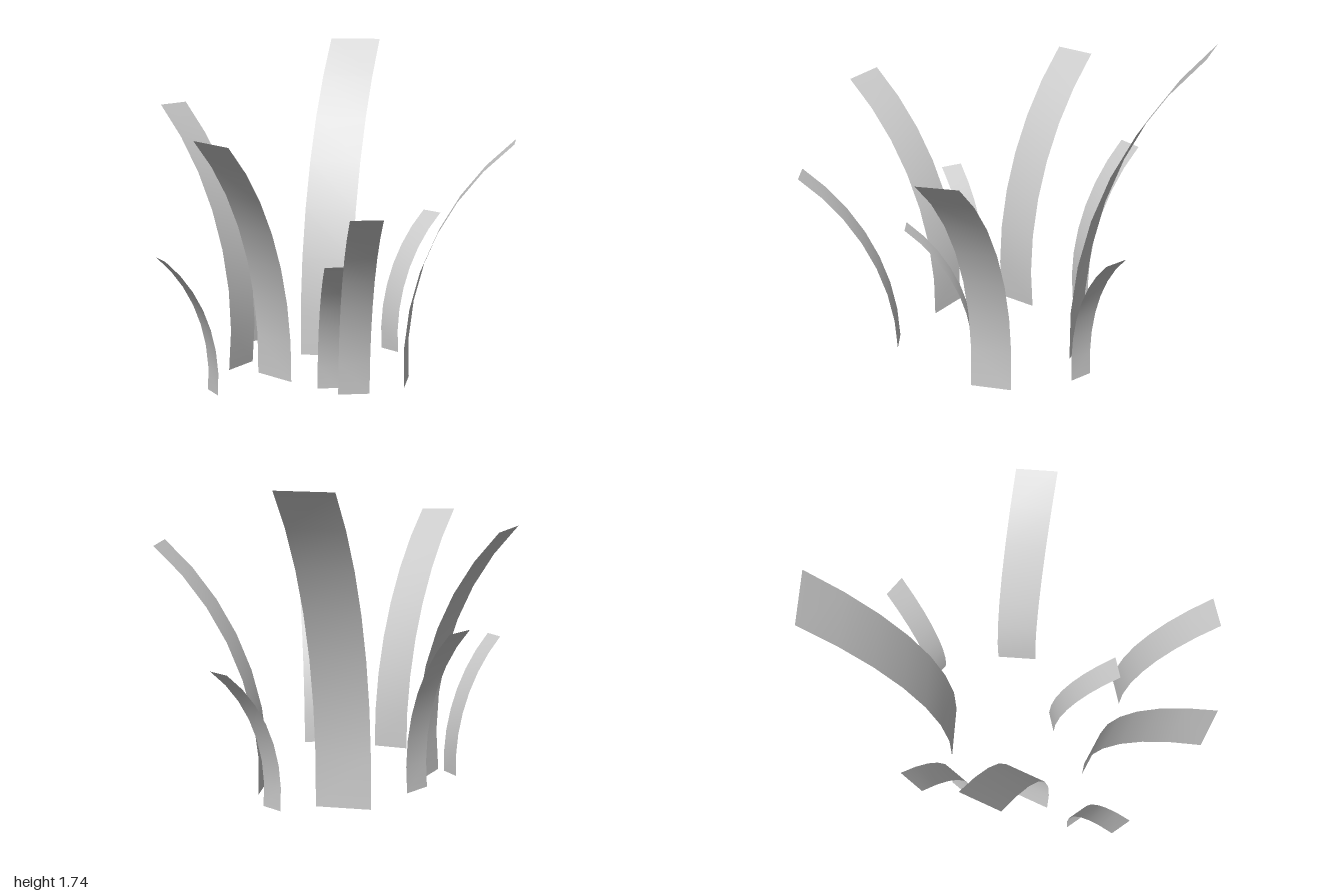
import * as THREE from 'three';

const SEGMENTS = 7;

// Each blade: middle of its foot, middle of its tip, half-width vector, half the bend in degrees
const BLADES = {
  tallBackLeftBlade: [[0.145, 0.05, -0.4], [0.52, 1.745, -0.93], [0.12, 0, 0.07], 24],
  smallBackBlade: [[-0.205, 0.14, -0.512], [-0.295, 1.01, -0.79], [0.065, 0, -0.028], 26],
  wideBackRightBlade: [[-0.4, 0.09, -0.2], [-0.645, 1.44, -0.57], [0.085, 0, -0.068], 26],
  smallLeftBlade: [[0.495, 0.068, -0.33], [0.777, 0.813, -0.415], [0.026, -0.002, 0.055], 28],
  smallRightBlade: [[-0.605, 0.012, -0.018], [-0.89, 0.733, 0.075], [0.01, -0.003, 0.056], 28],
  wideFrontRightBlade: [[-0.347, 0.122, 0.2], [-0.77, 1.345, 0.57], [0.06, -0.01, 0.08], 27],
  wideFrontLeftBlade: [[0.405, 0.008, 0.115], [0.84, 1.285, 0.45], [0.052, 0.003, -0.092], 28],
  smallFrontBlade: [[-0.03, 0.015, 0.12], [-0.115, 0.71, 0.457], [0.056, 0, 0.014], 26],
  frontBlade: [[-0.045, 0.088, 0.515], [-0.165, 1.022, 0.98], [0.075, 0, 0.018], 26],
};

// Flat ribbon whose centre line is a circular arc from foot to tip, leaning outward
function bladeGeometry(foot, tip, half, bend) {
  const start = new THREE.Vector3(...foot);
  const chord = new THREE.Vector3(...tip).sub(start);
  const width = new THREE.Vector3(...half);
  const outward = new THREE.Vector3(chord.x, 0, chord.z);
  const bulge = outward.clone().normalize().multiplyScalar(chord.y);
  bulge.y = -outward.length();  // at right angles to the chord, same length
  const a = THREE.MathUtils.degToRad(bend);
  const positions = [], indices = [];
  for (let i = 0; i <= SEGMENTS; i++) {
    const t = -a + (2 * a * i) / SEGMENTS;
    const along = 0.5 + Math.sin(t) / (2 * Math.sin(a));
    const sag = (Math.cos(t) - Math.cos(a)) / (2 * Math.sin(a));
    const p = start.clone().addScaledVector(chord, along).addScaledVector(bulge, -sag);
    positions.push(...p.clone().sub(width).toArray(), ...p.clone().add(width).toArray());
    if (i < SEGMENTS) {
      const k = 2 * i;
      indices.push(k, k + 1, k + 2, k + 1, k + 3, k + 2);
    }
  }
  const geometry = new THREE.BufferGeometry();
  geometry.setAttribute('position', new THREE.Float32BufferAttribute(positions, 3));
  geometry.setIndex(indices);
  geometry.computeVertexNormals();
  return geometry;
}

export function createModel() {
  const group = new THREE.Group();
  group.name = 'grassTuft';
  const material = new THREE.MeshStandardMaterial({ color: 0xcccccc, side: THREE.DoubleSide });
  for (const [name, spec] of Object.entries(BLADES)) {
    const blade = new THREE.Mesh(bladeGeometry(...spec), material);
    blade.name = name;
    group.add(blade);
  }
  return group;
}
